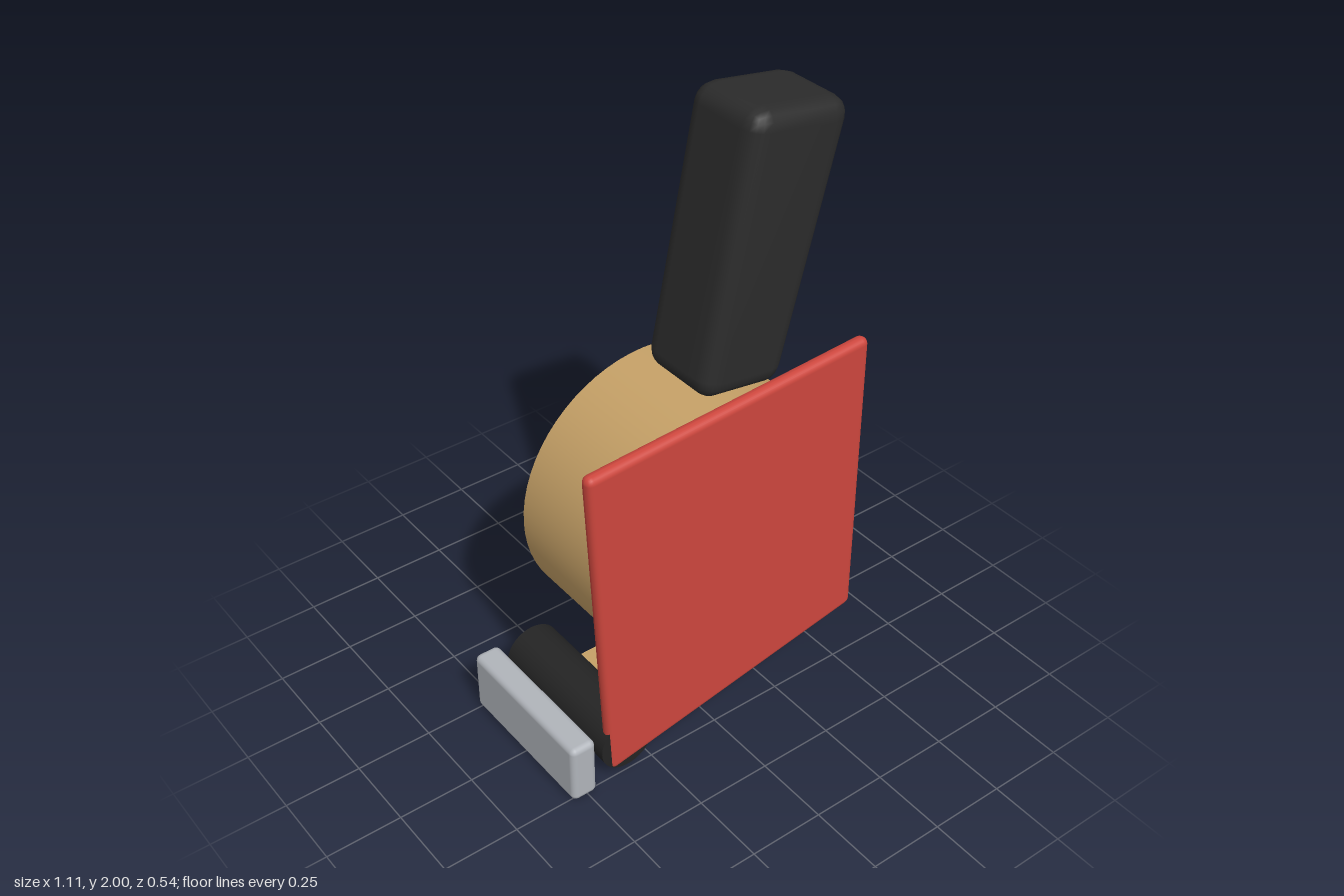
import * as THREE from 'three';
import { RoundedBoxGeometry } from 'three/addons/geometries/RoundedBoxGeometry.js';
import { mergeVertices } from 'three/addons/utils/BufferGeometryUtils.js';

function material(name, color) {
  const m = new THREE.MeshStandardMaterial({ color });
  m.name = name;
  return m;
}

// Rounded slab whose outline is stretched to four corners (BL, BR, TR, TL)
function roundedQuad([bl, br, tr, tl], depth, radius, segments) {
  const w = (br[0] - bl[0] + tr[0] - tl[0]) / 2;
  const h = (tl[1] - bl[1] + tr[1] - br[1]) / 2;
  let geo = new RoundedBoxGeometry(w, h, depth, segments, radius);
  const p = geo.attributes.position;
  for (let i = 0; i < p.count; i++) {
    const u = p.getX(i) / w + 0.5, v = p.getY(i) / h + 0.5;
    const at = (k) => (1 - v) * ((1 - u) * bl[k] + u * br[k]) + v * ((1 - u) * tl[k] + u * tr[k]);
    p.setXY(i, at(0), at(1));
  }
  geo.deleteAttribute('uv');
  geo.deleteAttribute('normal');
  geo = mergeVertices(geo, 1e-4);
  geo.computeVertexNormals();
  return geo;
}

// Cylinder lying along z
function zCylinder(radius, length) {
  return new THREE.CylinderGeometry(radius, radius, length, 64).rotateX(Math.PI / 2);
}

export function createModel() {
  const model = new THREE.Group();
  model.name = 'tapeDispenser';

  const red = material('red plastic', 0xcc463d);
  const tan = material('tan tape', 0xc6a167);
  const black = material('black grip', 0x2b2b2b);
  const rubber = material('dark rubber', 0x242424);
  const steel = material('grey steel', 0xb0b4ba);

  function add(name, geometry, mat, x = 0, y = 0, z = 0) {
    const mesh = new THREE.Mesh(geometry, mat);
    mesh.name = name;
    mesh.position.set(x, y, z);
    model.add(mesh);
  }

  // Side plate
  add('sidePlate', roundedQuad([[-0.41, 0.035], [0.55, 0.215], [0.55, 1.235], [-0.465, 1.172]],
    0.046, 0.022, 3), red, 0, 0, 0.24);

  // Leaning, slightly tapered grip
  add('handle', roundedQuad([[0.018, 1.15], [0.312, 1.108], [0.548, 1.958], [0.19, 2.012]],
    0.3, 0.06, 2), black);

  // Tape roll and the hub that pokes out on both sides
  add('tapeRoll', zCylinder(0.45, 0.42), tan, 0.07, 0.695, 0);
  add('hub', zCylinder(0.227, 0.45), tan, 0.07, 0.695, 0);

  // Roller, loose tape end and cutter
  add('roller', zCylinder(0.095, 0.515), rubber, -0.345, 0.125, 0);
  add('tapeStrip', new THREE.BoxGeometry(0.36, 0.02, 0.41), tan, -0.225, 0.048, 0);
  add('cutterBlade', new RoundedBoxGeometry(0.088, 0.21, 0.538, 3, 0.02), steel, -0.511, 0.106, 0);

  return model;
}
